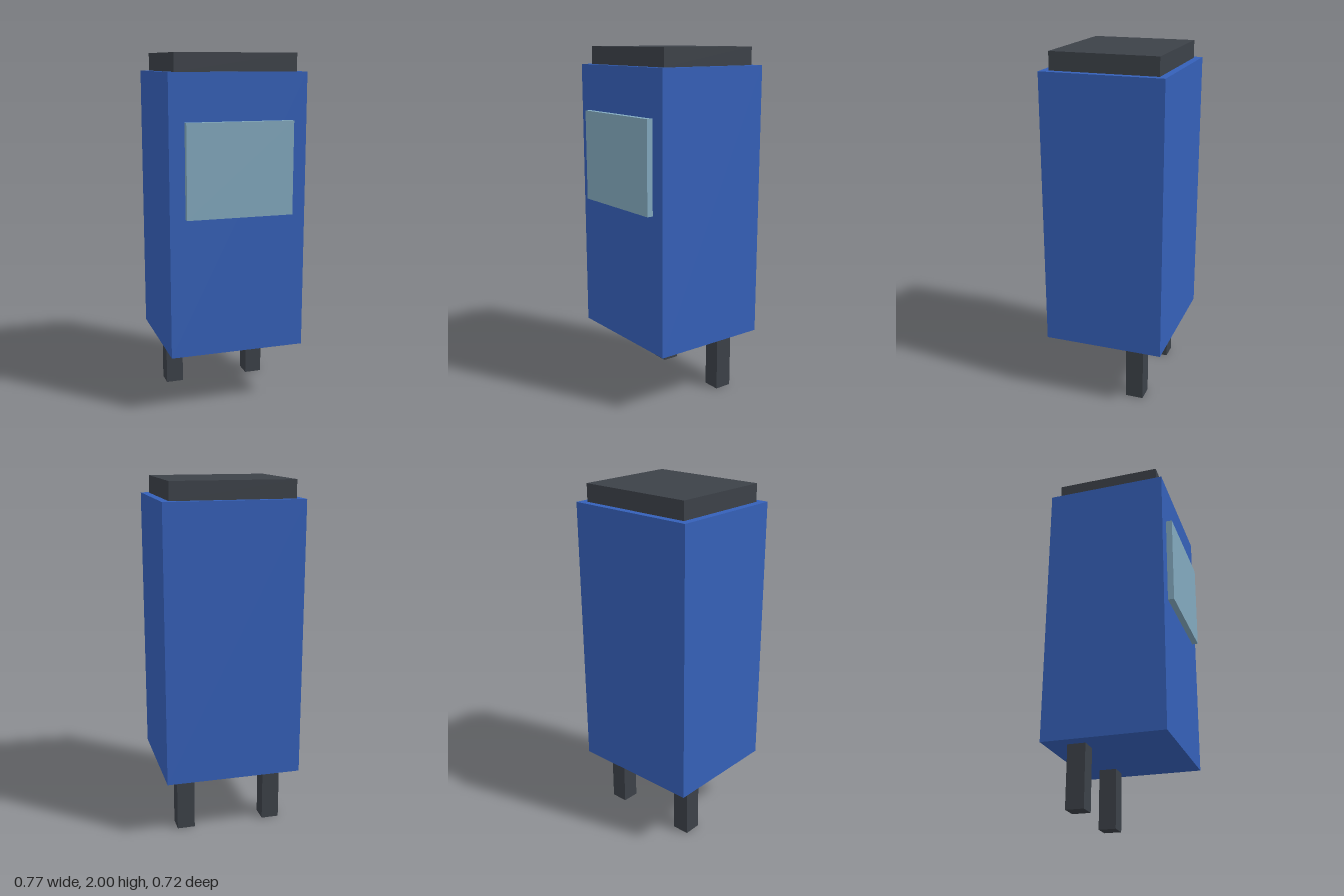
import * as THREE from 'three';

const blue = new THREE.MeshStandardMaterial({ name: 'bluePaint', color: 0x3560b8 });
const dark = new THREE.MeshStandardMaterial({ name: 'darkMetal', color: 0x3c4148 });
const glass = new THREE.MeshStandardMaterial({ name: 'paleGlass', color: 0x82a9be });

// Box given by its extents along each axis
function box(name, material, [x0, x1], [y0, y1], [z0, z1]) {
  const mesh = new THREE.Mesh(new THREE.BoxGeometry(x1 - x0, y1 - y0, z1 - z0), material);
  mesh.name = name;
  mesh.position.set((x0 + x1) / 2, (y0 + y1) / 2, (z0 + z1) / 2);
  return mesh;
}

export function createModel() {
  const model = new THREE.Group();
  model.name = 'cabinetOnLegs';

  // Cabinet, raised lid and front panel
  model.add(
    box('cabinet', blue, [-0.387, 0.387], [0.346, 1.9], [-0.361, 0.326]),
    box('lid', dark, [-0.344, 0.344], [1.9, 2], [-0.32, 0.282]),
    box('frontPanel', glass, [-0.301, 0.301], [1.126, 1.642], [0.326, 0.361]),
  );

  // Pair of legs set behind the middle
  for (const [name, x] of [['leftLeg', 0.258], ['rightLeg', -0.258]]) {
    model.add(box(name, dark, [x - 0.051, x + 0.051], [0, 0.346], [-0.237, -0.135]));
  }
  return model;
}
